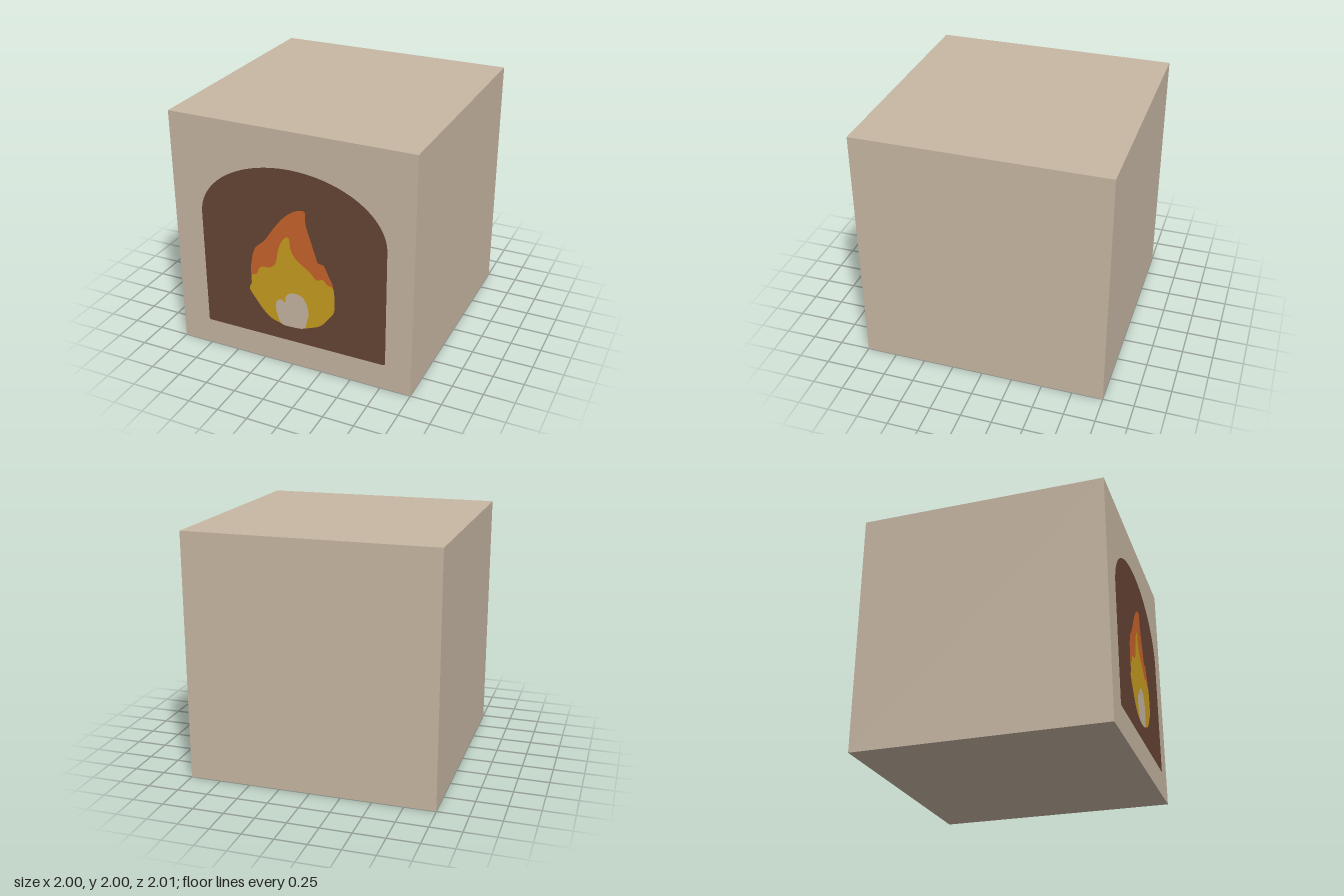
import * as THREE from 'three';

const LAYER = 0.0015; // gap between painted faces

// Closed smooth outline through a few points
function outline(points) {
  const p = points.map(([x, y]) => new THREE.Vector3(x, y, 0));
  const curve = new THREE.CatmullRomCurve3(p, true, 'centripetal');
  return new THREE.Shape(curve.getPoints(p.length * 5).slice(0, -1).map((v) => new THREE.Vector2(v.x, v.y)));
}

// Arched opening with slightly rounded bottom corners
function arch(left, right, bottom, spring, top, r) {
  const s = new THREE.Shape();
  s.moveTo(left + r, bottom);
  s.lineTo(right - r, bottom);
  s.quadraticCurveTo(right, bottom, right, bottom + r);
  s.lineTo(right, spring);
  s.absellipse((left + right) / 2, spring, (right - left) / 2, top - spring, 0, Math.PI, false, 0);
  s.lineTo(left, bottom + r);
  s.quadraticCurveTo(left, bottom, left + r, bottom);
  return s;
}

export function createModel() {
  const material = (name, color) => {
    const m = new THREE.MeshStandardMaterial({ color });
    m.name = name;
    return m;
  };
  const stone = material('stone', 0xc7b7a3);
  const brown = material('hearthBrown', 0x664435);
  const orange = material('flameOrange', 0xc8642a);
  const yellow = material('flameYellow', 0xc89d20);

  const group = new THREE.Group();
  group.name = 'fireplaceBlock';
  const add = (name, geometry, mat, y, z) => {
    const mesh = new THREE.Mesh(geometry, mat);
    mesh.name = name;
    mesh.position.set(0, y, z);
    group.add(mesh);
  };

  // Solid block
  add('block', new THREE.BoxGeometry(2, 2, 2), stone, 1, 0);

  // Arched hearth
  const hearth = arch(-0.76, 0.788, 0.218, 1.2, 1.7, 0.02);

  // Outer flame, its lower part lies behind the inner flame
  const outerFlame = outline([
    [0.12, 1.392], [0.05, 1.375], [-0.04, 1.31], [-0.13, 1.2], [-0.22, 1.07], [-0.3, 0.99],
    [-0.335, 0.88], [-0.346, 0.75], [-0.3, 0.65], [0, 0.5], [0.3, 0.65], [0.358, 0.79],
    [0.31, 0.91], [0.28, 0.97], [0.235, 0.98], [0.215, 1.03], [0.17, 1.17], [0.135, 1.29], [0.132, 1.38],
  ]);

  // Inner flame
  const innerFlame = outline([
    [-0.342, 0.742], [-0.3, 0.76], [-0.27, 0.82], [-0.24, 0.84], [-0.18, 0.845], [-0.13, 0.89],
    [-0.1, 1.02], [-0.06, 1.11], [-0.02, 1.145], [-0.004, 1.13], [0.005, 1.05], [0.04, 0.98],
    [0.1, 0.93], [0.17, 0.88], [0.22, 0.83], [0.27, 0.845], [0.31, 0.81], [0.355, 0.795],
    [0.368, 0.72], [0.363, 0.58], [0.31, 0.5], [0.25, 0.43], [0.17, 0.39], [0.11, 0.37],
    [0, 0.352], [-0.1, 0.362], [-0.19, 0.395], [-0.25, 0.45], [-0.31, 0.53], [-0.365, 0.62], [-0.345, 0.67],
  ]);

  // Pale core at the foot of the flame
  const core = outline([
    [-0.09, 0.361], [-0.125, 0.44], [-0.135, 0.52], [-0.115, 0.575], [-0.08, 0.58], [-0.055, 0.565],
    [-0.045, 0.62], [-0.01, 0.655], [0.03, 0.665], [0.09, 0.655], [0.13, 0.6], [0.148, 0.51],
    [0.13, 0.43], [0.112, 0.371], [0, 0.352],
  ]);

  // Painted faces stacked on the front
  [
    ['hearth', hearth, brown],
    ['outerFlame', outerFlame, orange],
    ['innerFlame', innerFlame, yellow],
    ['flameCore', core, stone],
  ].forEach(([name, shape, mat], i) => {
    add(name, new THREE.ShapeGeometry(shape, 32), mat, 0, 1 + LAYER * (i + 1));
  });

  return group;
}
